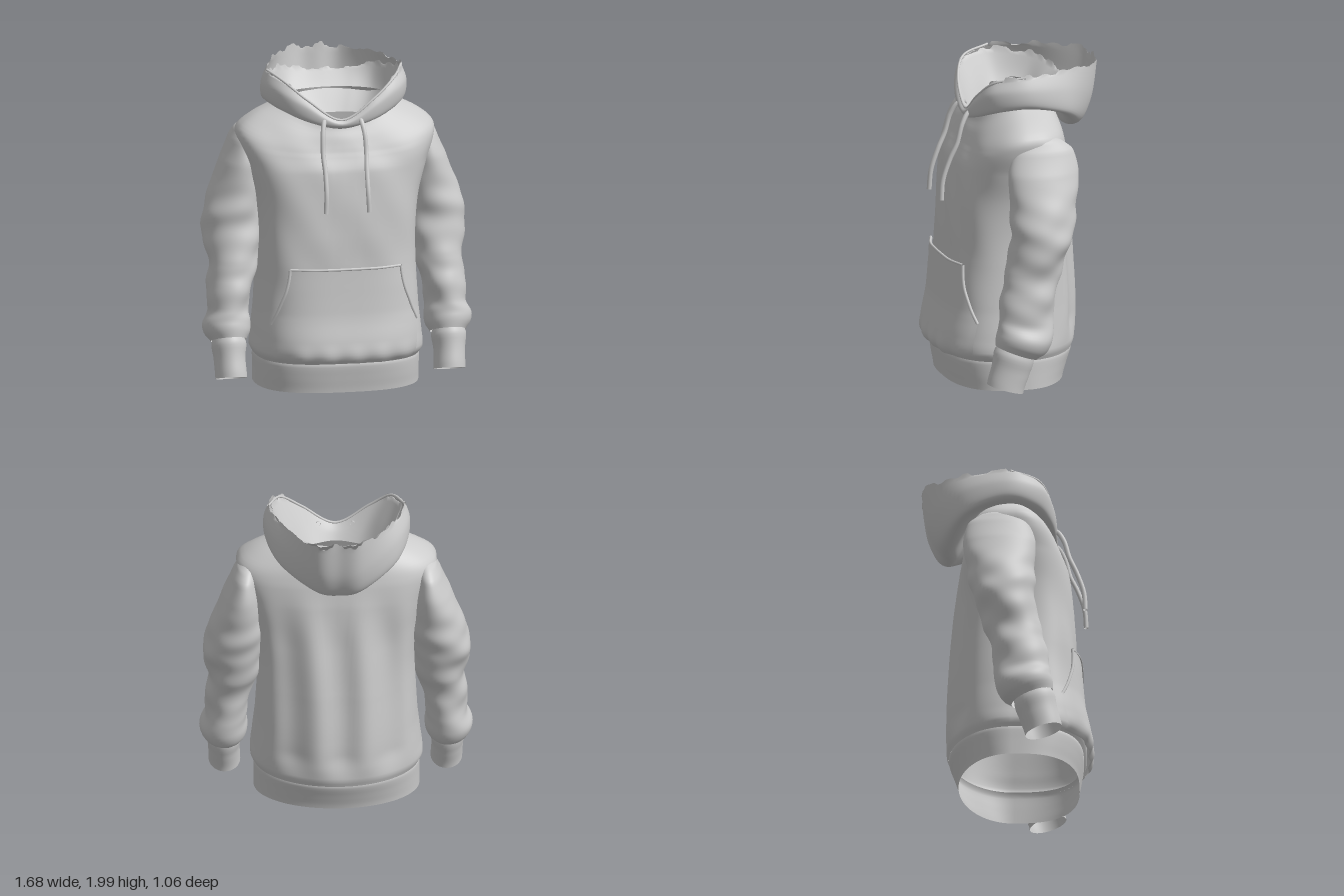
import * as THREE from 'three';

const material = new THREE.MeshStandardMaterial({ color: 0xcccccc, side: THREE.DoubleSide });
const TAU = Math.PI * 2;
const clamp01 = (v) => Math.min(1, Math.max(0, v));
const smooth = (a, b, v) => THREE.MathUtils.smoothstep(v, a, b);
const power = (v, e) => Math.sign(v) * Math.abs(v) ** e;
const hash = (n) => { const s = Math.sin(n * 12.9898) * 43758.5453; return s - Math.floor(s); };

// Catmull-Rom blend of four equally long number lists
function blend(a, b, c, d, t) {
  return b.map((_, i) => 0.5 * (2 * b[i] + (c[i] - a[i]) * t
    + (2 * a[i] - 5 * b[i] + 4 * c[i] - d[i]) * t * t
    + (3 * b[i] - a[i] - 3 * c[i] + d[i]) * t * t * t));
}

// Value of a list of knots at a fractional index
function along(list, f, closed = false) {
  const n = list.length;
  const i = closed ? Math.floor(f) : Math.min(n - 2, Math.floor(f));
  const at = (k) => list[closed ? (k + n) % n : Math.min(n - 1, Math.max(0, k))];
  return blend(at(i - 1), at(i), at(i + 1), at(i + 2), f - i);
}

// Row of a table whose first column is the height
function atHeight(table, y) {
  let i = 0;
  while (i < table.length - 2 && y > table[i + 1][0]) i++;
  return along(table, i + clamp01((y - table[i][0]) / (table[i + 1][0] - table[i][0])));
}

// Grid surface from point(u, v); closed surfaces wrap in u
function surface(name, point, nu, nv, closed = true) {
  const cols = closed ? nu : nu + 1;
  const pos = [], index = [];
  for (let j = 0; j <= nv; j++)
    for (let i = 0; i < cols; i++) pos.push(...point(i / nu, j / nv, i, j === nv));
  for (let j = 0; j < nv; j++)
    for (let i = 0; i < nu; i++) {
      const a = j * cols + i, b = j * cols + (i + 1) % cols;
      index.push(a, b, b + cols, a, b + cols, a + cols);
    }
  const g = new THREE.BufferGeometry();
  g.setAttribute('position', new THREE.Float32BufferAttribute(pos, 3));
  g.setIndex(index);
  g.computeVertexNormals();
  const mesh = new THREE.Mesh(g, material);
  mesh.name = name;
  return mesh;
}

function tube(name, points, radius, segments = 32) {
  const curve = new THREE.CatmullRomCurve3(points.map((p) => new THREE.Vector3(...p)));
  const mesh = new THREE.Mesh(new THREE.TubeGeometry(curve, segments, radius, 8), material);
  mesh.name = name;
  return mesh;
}

// Height, half width, front z, back z, squareness of front and back
const TORSO = [
  [0.19, 0.51, 0.465, -0.365, 2.8, 2], [0.23, 0.53, 0.485, -0.38, 3, 2], [0.32, 0.52, 0.475, -0.39, 3.3, 2.1],
  [0.5, 0.5, 0.44, -0.39, 3.4, 2.25], [0.8, 0.485, 0.425, -0.37, 3.4, 2.4], [1.0, 0.485, 0.415, -0.35, 3.3, 2.55],
  [1.2, 0.51, 0.405, -0.325, 3.1, 2.7], [1.4, 0.565, 0.375, -0.295, 2.9, 2.9], [1.54, 0.61, 0.335, -0.27, 2.9, 2.9],
  [1.62, 0.605, 0.316, -0.255, 2.6, 2.6], [1.7, 0.505, 0.295, -0.24, 2.2, 2.2], [1.78, 0.35, 0.262, -0.22, 2, 2],
];
const HEM = [[0.005, 0.51, 0.44, -0.305, 2.7, 2], [0.1, 0.51, 0.455, -0.335, 2.8, 2], [0.19, 0.51, 0.467, -0.365, 2.8, 2], [0.21, 0.5, 0.455, -0.355, 2.8, 2]];
const CENTRE_Z = 0.03;

function ring(table, y, a) {
  const [, hx, zf, zb, ef, eb] = atHeight(table, y);
  const front = Math.cos(a) > 0, e = 2 / (front ? ef : eb);
  return [hx * power(Math.sin(a), e), y, CENTRE_Z + power(Math.cos(a), e) * (front ? zf - CENTRE_Z : CENTRE_Z - zb)];
}

function torsoPoint(u, v) {
  const a = u * TAU, y = 0.19 + v * 1.59;
  const p = ring(TORSO, y, a);
  const back = clamp01(-Math.cos(a) * 1.5);
  // long vertical folds down the back, soft dents on the front
  const fold = smooth(0.2, 0.4, y) * (1 - smooth(1.1, 1.6, y)) * back;
  p[2] += fold * 0.02 * (1 + Math.cos(p[0] * 21 + Math.sin(y * 3) * 0.5));
  p[2] += 0.005 * Math.sin(y * 13 + p[0] * 9) * Math.sin(p[0] * 11) * smooth(0.2, 0.4, y) * (1 - back);
  // neckline dips at the front
  p[1] -= 0.13 * smooth(1.3, 1.78, y) * Math.max(0, Math.cos(a)) ** 2;
  return p;
}

// Front of the torso at x, y
function frontZ(x, y) {
  const [, hx, zf, , e] = atHeight(TORSO, y);
  return CENTRE_Z + (zf - CENTRE_Z) * (1 - Math.min(0.98, Math.abs(x) / hx) ** e) ** (1 / e);
}

// Pocket: height, half width, stand-off at the middle and at the sides
const POCKET = [
  [0.2, 0.43, 0.03, 0.004], [0.26, 0.45, 0.042, 0.006], [0.44, 0.455, 0.04, 0.015],
  [0.5, 0.425, 0.04, 0.02], [0.65, 0.37, 0.035, 0.025], [0.785, 0.345, 0.03, 0.02],
];
function pocketPoint(u, v) {
  const y = 0.2 + v * 0.585, [, w, middle, edge] = atHeight(POCKET, y);
  const s = u * 2 - 1, x = s * w;
  const pucker = 0.006 * Math.sin(x * 38) * (1 - smooth(0.2, 0.34, y));
  return [x, y, frontZ(x, y) + edge + (middle - edge) * (1 - Math.abs(s) ** 3) + pucker];
}

// Sleeve: height, inner x, outer x, back z, front z, forward tilt
const SLEEVE = [
  [0.3, 0.575, 0.795, 0.035, 0.29, 0.38], [0.34, 0.55, 0.83, -0.02, 0.29, 0.35], [0.4, 0.545, 0.84, -0.06, 0.28, 0.25],
  [0.48, 0.555, 0.805, -0.07, 0.265, 0.15], [0.65, 0.525, 0.805, -0.09, 0.25, 0.1], [0.78, 0.485, 0.79, -0.13, 0.215, 0],
  [1.0, 0.455, 0.825, -0.2, 0.18, 0], [1.2, 0.45, 0.775, -0.24, 0.175, 0], [1.4, 0.465, 0.7, -0.265, 0.18, 0],
  [1.54, 0.49, 0.64, -0.235, 0.14, 0], [1.6, 0.5, 0.605, -0.16, 0.075, 0], [1.63, 0.52, 0.56, -0.08, 0, 0],
];
const CUFF = [[0.075, 0.585, 0.78, 0.12, 0.345, 0.3], [0.2, 0.59, 0.785, 0.08, 0.315, 0.3], [0.28, 0.58, 0.795, 0.055, 0.3, 0.35], [0.33, 0.6, 0.78, 0.05, 0.27, 0.35]];

function sleevePoint(table, side, wrinkle) {
  const y0 = table[0][0], y1 = table[table.length - 1][0];
  return (u, v) => {
    const a = u * TAU, y = y0 + v * (y1 - y0);
    const [, xi, xo, zb, zf, tilt] = atHeight(table, y);
    // slanting creases, fading out towards the shoulder
    const amount = wrinkle * smooth(0.36, 0.48, y) * (1 - smooth(1.0, 1.5, y));
    const k = 1 + amount * (Math.sin(y * 21 + 3 * Math.cos(a) + 2 * Math.sin(a) * side)
      + 0.6 * Math.sin(y * 37 - 3 * Math.cos(a) + 1));
    const rz = (zf - zb) / 2 * k * Math.cos(a);
    return [side * (xi + xo) / 2 + (xo - xi) / 2 * k * Math.sin(a), y + tilt * rz, (zb + zf) / 2 + rz];
  };
}

// Hood columns from front centre to back centre, each from neck seam to rim
const HOOD = [
  [[0, 1.63, 0.25], [0, 1.635, 0.28], [0, 1.65, 0.3], [0, 1.67, 0.305], [0, 1.69, 0.285]],
  [[0.17, 1.69, 0.22], [0.2, 1.68, 0.265], [0.22, 1.71, 0.285], [0.225, 1.78, 0.29], [0.21, 1.82, 0.27]],
  [[0.29, 1.75, 0.11], [0.35, 1.74, 0.155], [0.38, 1.77, 0.185], [0.38, 1.865, 0.205], [0.34, 1.925, 0.2]],
  [[0.33, 1.77, -0.03], [0.4, 1.76, -0.01], [0.445, 1.79, -0.01], [0.45, 1.88, 0], [0.42, 1.965, 0.02]],
  [[0.25, 1.77, -0.16], [0.33, 1.71, -0.22], [0.365, 1.72, -0.265], [0.36, 1.85, -0.275], [0.325, 1.97, -0.27]],
  [[0.11, 1.77, -0.22], [0.14, 1.6, -0.32], [0.15, 1.6, -0.41], [0.15, 1.75, -0.475], [0.15, 1.97, -0.505]],
  [[0, 1.77, -0.23], [0, 1.565, -0.32], [0, 1.565, -0.41], [0, 1.72, -0.49], [0, 1.97, -0.525]],
];
const LINING = [
  [[0, 1.6, 0.22], [0, 1.65, 0.25], [0, 1.69, 0.285]],
  [[0.13, 1.6, 0.18], [0.17, 1.7, 0.22], [0.21, 1.82, 0.27]],
  [[0.22, 1.62, 0.1], [0.27, 1.76, 0.14], [0.34, 1.925, 0.2]],
  [[0.25, 1.64, 0.03], [0.33, 1.78, 0], [0.4, 1.95, 0.01]],
  [[0.2, 1.64, -0.08], [0.27, 1.78, -0.17], [0.3, 1.92, -0.23]],
  [[0.1, 1.64, -0.12], [0.14, 1.78, -0.22], [0.15, 1.88, -0.32]],
  [[0, 1.64, -0.13], [0, 1.78, -0.23], [0, 1.87, -0.33]],
];
function hoodPoint(half) {
  const mirrored = half.slice(1, -1).reverse().map((col) => col.map(([x, y, z]) => [-x, y, z]));
  const cols = [...half, ...mirrored];
  return (u, v, i, rim) => {
    const rows = half[0].map((_, r) => along(cols.map((c) => c[r]), u * cols.length, true));
    const p = along(rows, v * (rows.length - 1));
    // torn rim, fading out at the front opening
    if (rim) p[1] += (hash(Math.floor(i / 2) + 1) - 0.55) * 0.05 * smooth(1.82, 1.92, p[1]);
    return p;
  };
}

export function createModel() {
  const model = new THREE.Group();
  model.name = 'hoodedSweatshirt';
  model.add(
    surface('torso', torsoPoint, 128, 80),
    surface('hemBand', (u, v) => ring(HEM, 0.005 + v * 0.205, u * TAU), 96, 10),
    surface('frontPocket', pocketPoint, 48, 30, false),
    surface('hood', hoodPoint(HOOD), 120, 28),
    surface('hoodLining', hoodPoint(LINING), 120, 14),
  );

  // Stitched top edge of the pocket
  const steps = [0, 0.2, 0.4, 0.6, 0.8, 1];
  model.add(tube('pocketTopEdge', steps.map((t) => pocketPoint(t, 1)), 0.008));

  // Seam along the front opening of the hood
  const lip = hoodPoint(HOOD);
  model.add(tube('hoodOpeningEdge', [-3, -2, -1, 0, 1, 2, 3].map((k) => lip((k / 12 + 1) % 1, 1, 0, false)), 0.008, 48));

  for (const side of [1, -1]) {
    const label = side > 0 ? 'left' : 'right';
    model.add(
      surface(label + 'Sleeve', sleevePoint(SLEEVE, side, 0.032), 56, 80),
      surface(label + 'Cuff', sleevePoint(CUFF, side, 0), 40, 12),
      tube(label + 'PocketOpening', steps.map((t) => pocketPoint(side > 0 ? 1 : 0, 0.4 + 0.6 * t)), 0.01),
      tube(label + 'Drawstring', [[0.105, 1.7, 0.25], [0.115, 1.69, 0.3], [0.13, 1.62, 0.345],
        [0.135, 1.5, 0.38], [0.13, 1.4, 0.425], [0.13, 1.27, 0.468], [0.135, 1.15, 0.478]].map(([x, y, z]) => [side * x, y, z]), 0.015, 40),
    );
  }
  return model;
}
